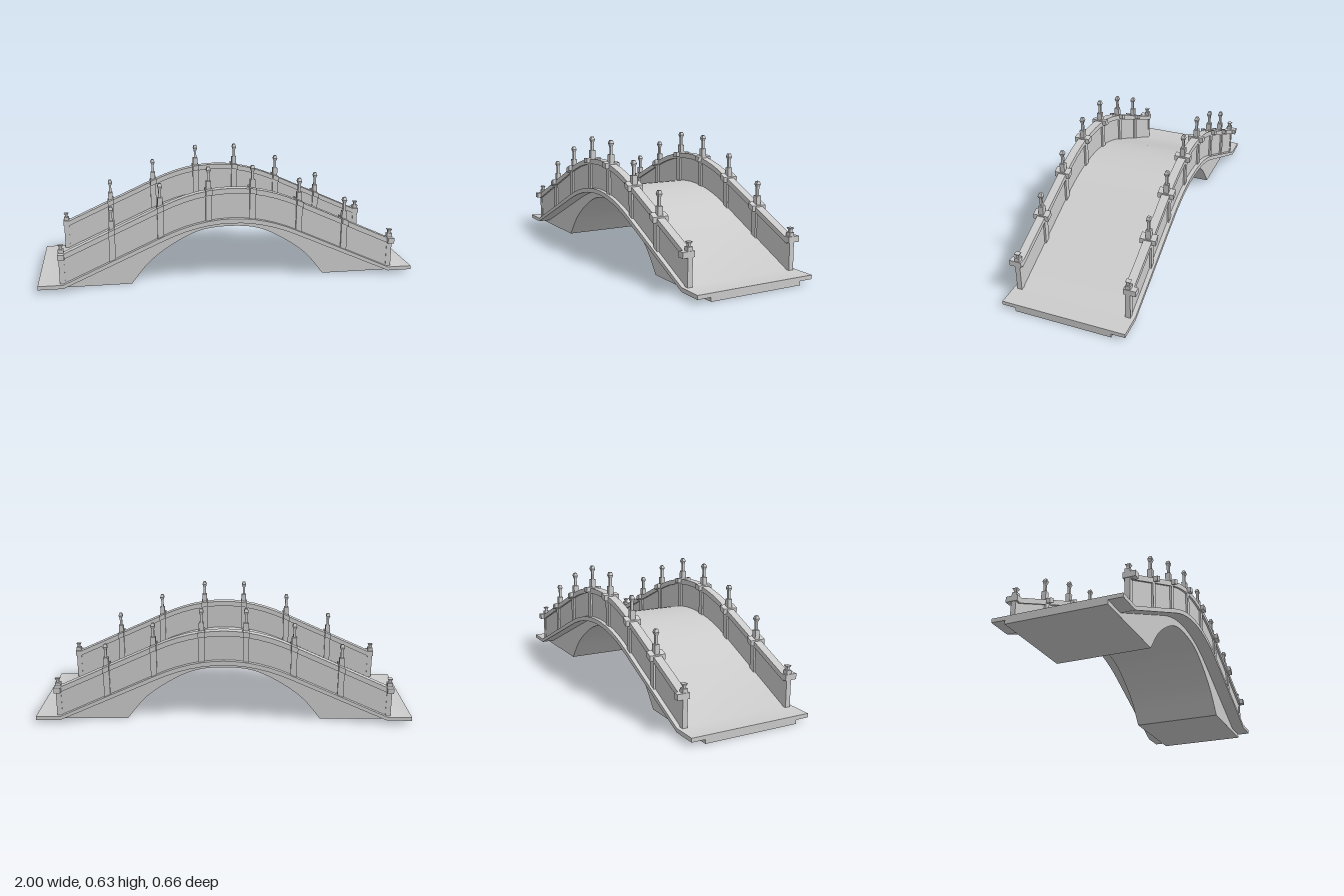
import * as THREE from 'three';
import { toCreasedNormals } from 'three/addons/utils/BufferGeometryUtils.js';

const material = new THREE.MeshStandardMaterial({ color: 0xcccccc });
const RAIL_Z = 0.2875;

// height of the walking surface: flat ends, straight ramps, parabolic crown
function deckY(x) {
  const a = Math.abs(x);
  if (a >= 0.87) return 0.04;
  if (a >= 0.36) return 0.04 + (0.87 - a) * 0.453;
  return 0.355 - 0.65 * a * a;
}

// x positions of the profile's corners between x0 and x1
function stations(x0, x1) {
  const inner = [0.87, 0.36, 0.3, 0.24, 0.18, 0.12, 0.06];
  const all = [...inner.map((x) => -x), 0, ...inner.slice().reverse()];
  return [x0, ...all.filter((x) => x > x0 + 1e-4 && x < x1 - 1e-4), x1];
}

function mesh(name, geometry) {
  const m = new THREE.Mesh(geometry, material);
  m.name = name;
  return m;
}

// extrude a side outline across the bridge from z0 to z1
function across(name, shape, z0, z1) {
  const g = new THREE.ExtrudeGeometry(shape, { depth: z1 - z0, bevelEnabled: false, curveSegments: 24 });
  g.translate(0, 0, z0);
  return mesh(name, toCreasedNormals(g, 0.45));
}

// band that follows the deck curve between two vertical offsets
function band(name, x0, x1, lo, hi, z0, z1) {
  const xs = stations(x0, x1);
  const low = xs.map((x) => new THREE.Vector2(x, deckY(x) + (Math.abs(x) >= 0.87 ? Math.max(lo, -0.02) : lo)));
  const high = xs.map((x) => new THREE.Vector2(x, deckY(x) + hi)).reverse();
  return across(name, new THREE.Shape([...low, ...high]), z0, z1);
}

function box(name, w, y0, y1, d, x, z) {
  const m = mesh(name, new THREE.BoxGeometry(w, y1 - y0, d));
  m.position.set(x, (y0 + y1) / 2, z);
  return m;
}

// square tapered block, half widths at top and bottom
function taper(name, top, bottom, y0, y1, x, z) {
  const g = new THREE.CylinderGeometry(top * Math.SQRT2, bottom * Math.SQRT2, y1 - y0, 4).toNonIndexed();
  g.rotateY(Math.PI / 4);
  g.computeVertexNormals();
  const m = mesh(name, g);
  m.position.set(x, (y0 + y1) / 2, z);
  return m;
}

// post standing in the railing, with a sloping collar and a lantern-like finial
function railPost(x) {
  const post = new THREE.Group();
  post.name = 'railPost';
  const y = deckY(x), c = y + 0.146;
  post.add(
    box('postShaft', 0.032, y - 0.012, c, 0.04, x, RAIL_Z),
    band('postCollar', x - 0.0175, x + 0.0175, 0.139, 0.167, RAIL_Z - 0.0415, RAIL_Z + 0.0415),
    box('postNeck', 0.026, c, c + 0.062, 0.026, x, RAIL_Z),
    box('finialStem', 0.013, c + 0.062, c + 0.107, 0.013, x, RAIL_Z),
    taper('finialBase', 0.012, 0.007, c + 0.105, c + 0.12, x, RAIL_Z),
    taper('finialTip', 0.007, 0.012, c + 0.12, c + 0.136, x, RAIL_Z),
  );
  return post;
}

// shorter post closing each end of the railing
function endPost(x) {
  const post = new THREE.Group();
  post.name = 'endPost';
  post.add(
    box('endPostShaft', 0.028, 0.04, 0.225, 0.026, x, RAIL_Z),
    box('endPostCollar', 0.034, 0.177, 0.206, 0.063, x, 0.2975),
    box('endFinialStem', 0.014, 0.225, 0.238, 0.014, x, RAIL_Z),
    taper('endFinial', 0.013, 0.007, 0.236, 0.248, x, RAIL_Z),
  );
  return post;
}

function railing() {
  const g = new THREE.Group();
  g.name = 'railing';
  g.add(
    band('railWall', -0.875, 0.875, -0.005, 0.134, 0.277, 0.298),
    band('railCap', -0.875, 0.875, 0.132, 0.16, 0.266, 0.309),
  );
  for (const x of [0.115, 0.365, 0.615]) g.add(railPost(x), railPost(-x));
  g.add(endPost(0.875), endPost(-0.875));
  return g;
}

export function createModel() {
  const bridge = new THREE.Group();
  bridge.name = 'archBridge';

  // deck slab overhanging the body
  bridge.add(band('deckSlab', -1, 1, -0.024, 0, -0.32, 0.32));

  // solid body with the arched opening
  const body = new THREE.Shape();
  body.moveTo(-1, 0);
  body.lineTo(-0.52, 0);
  const half = [[0.417, 0.123], [0.283, 0.219], [0.15, 0.279]];
  body.splineThru([
    ...half.map(([x, y]) => new THREE.Vector2(-x, y)),
    new THREE.Vector2(0, 0.295),
    ...half.slice().reverse().map(([x, y]) => new THREE.Vector2(x, y)),
    new THREE.Vector2(0.52, 0),
  ]);
  body.lineTo(1, 0);
  for (const x of stations(-1, 1).reverse()) body.lineTo(x, deckY(x) - 0.02);
  bridge.add(across('archBody', body, -0.25, 0.25));

  // matching railings on both sides
  const left = railing();
  const right = railing();
  right.rotation.y = Math.PI;
  bridge.add(left, right);
  return bridge;
}
